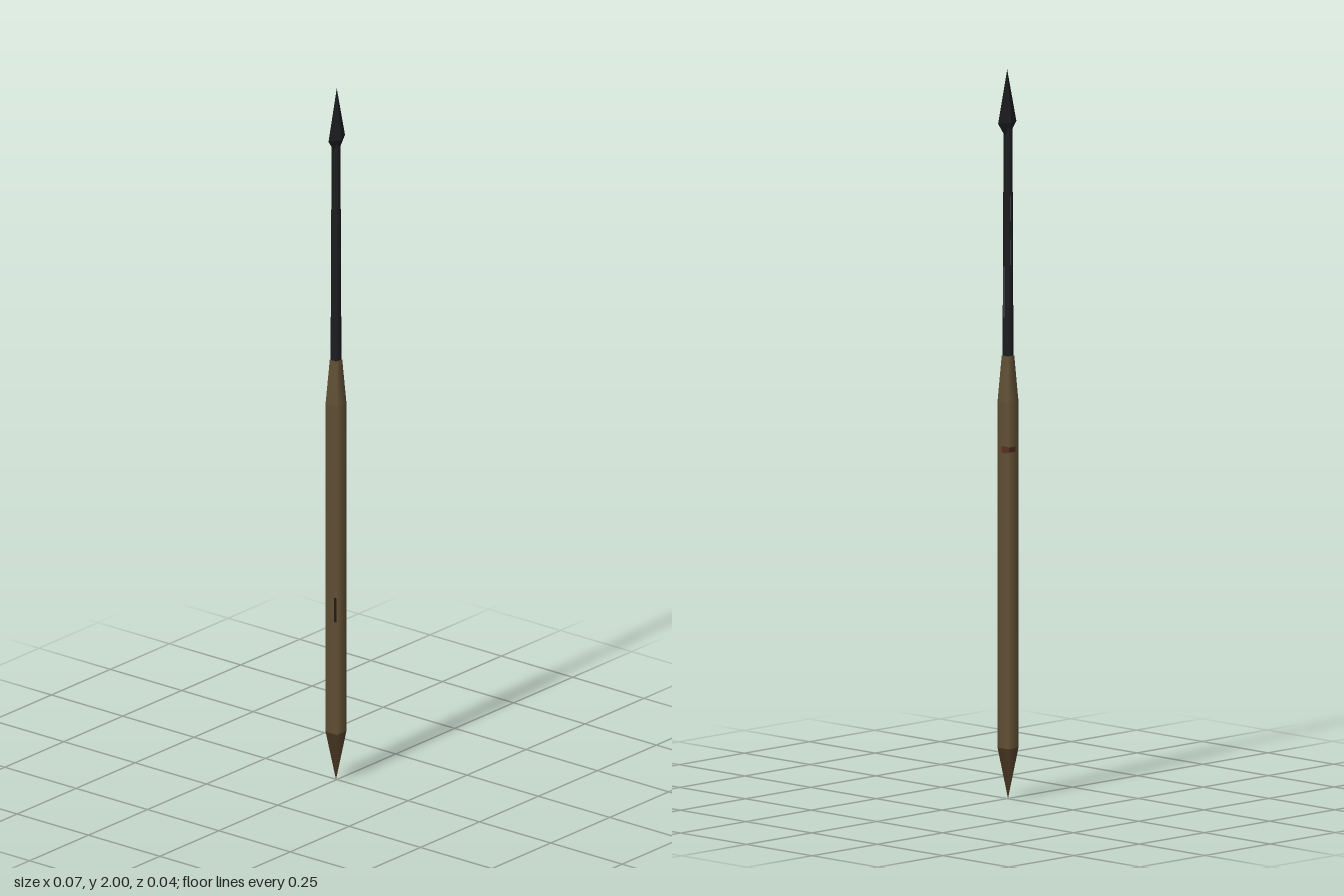
import * as THREE from 'three';

const mat = (name, color, flatShading = false) => {
  const m = new THREE.MeshStandardMaterial({ color, flatShading });
  m.name = name;
  return m;
};

export function createModel() {
  const wood = mat('brown wood', 0x675539);
  const darkWood = mat('dark wood', 0x523f28);
  const iron = mat('dark iron', 0x1f2022);
  const head = mat('spearhead iron', 0x1f2022, true);
  const glint = mat('worn iron', 0x55565a);
  const stain = mat('red stain', 0x5a2f20);
  const nick = mat('dark nick', 0x221a12);

  const group = new THREE.Group();
  const cx = -0.002, cz = -0.001; // the shaft sits slightly off centre

  const add = (name, geometry, material) => {
    const mesh = new THREE.Mesh(geometry, material);
    mesh.name = name;
    group.add(mesh);
  };

  // Square, softly shaded bar from y0 to y1, sizes given as half widths
  const bar = (name, y0, y1, h0, h1, material) => {
    const g = new THREE.CylinderGeometry(h1 * Math.SQRT2, h0 * Math.SQRT2, y1 - y0, 4, 1, h0 === 0);
    g.rotateY(Math.PI / 4).translate(cx, (y0 + y1) / 2, cz);
    add(name, g, material);
  };

  // Wooden shaft: pointed butt, long body, tapered socket
  bar('buttPoint', 0, 0.14, 0, 0.02, darkWood);
  bar('shaft', 0.14, 1.09, 0.02, 0.02, wood);
  bar('shaftTaper', 1.09, 1.215, 0.02, 0.012, wood);

  // Iron rod
  bar('rod', 1.2, 1.85, 0.0105, 0.0085, iron);

  // Diamond-section spearhead
  const diamond = (name, y0, y1, r0, r1) => {
    const g = new THREE.CylinderGeometry(r1, r0, y1 - y0, 4, 1, true);
    g.scale(0.035, 1, 0.016).translate(0, (y0 + y1) / 2, 0);
    add(name, g, head);
  };
  diamond('headBlade', 1.855, 2, 1, 0);
  diamond('headBase', 1.82, 1.855, 0.28, 1);

  // Thin painted wear marks
  const plate = (name, w, h, d, x, y, z, material) =>
    add(name, new THREE.BoxGeometry(w, h, d).translate(x, y, z), material);
  plate('stainSide', 0.001, 0.018, 0.022, cx + 0.02, 0.96, cz - 0.006, stain);
  plate('stainBack', 0.026, 0.014, 0.001, cx + 0.005, 0.96, cz - 0.02, stain);
  plate('nickSide', 0.001, 0.07, 0.009, cx - 0.02, 0.5, cz + 0.014, nick);
  plate('glintSide', 0.001, 0.14, 0.003, cx + 0.01, 1.39, cz + 0.005, glint);
  for (const y of [1.5, 1.62])
    plate('glintBack', 0.003, 0.07, 0.001, cx, y, cz - 0.0095, glint);

  return group;
}
